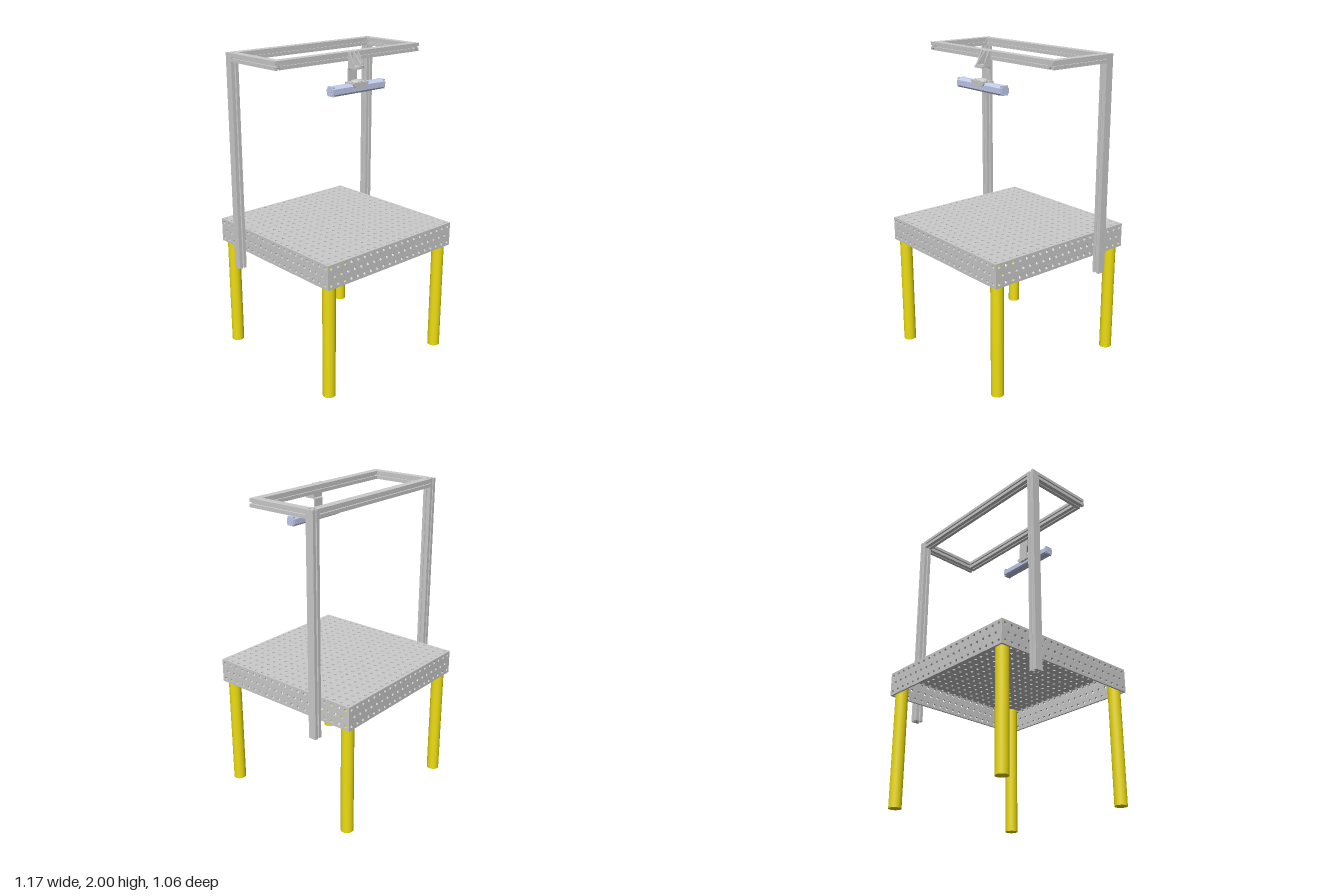
import * as THREE from 'three';

const steel = new THREE.MeshStandardMaterial({ color: 0xcccccc });
const yellow = new THREE.MeshStandardMaterial({ color: 0xeedd11 });
const blue = new THREE.MeshStandardMaterial({ color: 0xc3cdee });

function add(parent, name, geometry, material = steel, x = 0, y = 0, z = 0) {
  const mesh = new THREE.Mesh(geometry, material);
  mesh.name = name;
  mesh.position.set(x, y, z);
  parent.add(mesh);
  return mesh;
}

function box(parent, name, x0, x1, y0, y1, z0, z1, material) {
  return add(parent, name, new THREE.BoxGeometry(x1 - x0, y1 - y0, z1 - z0), material,
    (x0 + x1) / 2, (y0 + y1) / 2, (z0 + z1) / 2);
}

function extrude(shape, depth, curveSegments = 7) {
  return new THREE.ExtrudeGeometry(shape, { depth, bevelEnabled: false, curveSegments });
}

const polygon = (points) => new THREE.Shape(points.map(([x, y]) => new THREE.Vector2(x, y)));

// Flat plate, centred, with round holes through it
function perforatedPlate(w, h, depth, holes) {
  const shape = polygon([[-w / 2, -h / 2], [w / 2, -h / 2], [w / 2, h / 2], [-w / 2, h / 2]]);
  for (const [x, y] of holes) {
    const hole = new THREE.Path();
    hole.absarc(x, y, 0.0095, 0, Math.PI * 2, true);
    shape.holes.push(hole);
  }
  return extrude(shape, depth);
}

// Square section with T-slots on three faces and a closed face at +y
function slottedSection(size) {
  const h = size / 2, points = [];
  const slot = [[-h, h], [-0.005, h], [-0.005, h - 0.004], [-0.011, h - 0.004], [-0.006, h - 0.014],
    [0.006, h - 0.014], [0.011, h - 0.004], [0.005, h - 0.004], [0.005, h]];
  for (let k = 0; k < 4; k++) {
    const c = Math.round(Math.cos(k * Math.PI / 2)), s = Math.round(Math.sin(k * Math.PI / 2));
    for (const [x, y] of k === 0 ? slot.slice(0, 1) : slot) points.push([c * x + s * y, c * y - s * x]);
  }
  return polygon(points);
}

function createTable() {
  const table = new THREE.Group();
  table.name = 'weldingTable';
  const half = 0.53, t = 0.012, top = 0.885, bottom = 0.73, pitch = 0.0532;
  const at = (i) => (i - 9.5) * pitch;

  // Top plate with a 20 x 20 hole grid
  const grid = [];
  for (let i = 0; i < 20; i++) for (let j = 0; j < 20; j++) grid.push([at(i), at(j)]);
  const plate = add(table, 'topPlate', perforatedPlate(half * 2, half * 2, t, grid), steel, 0, top, 0);
  plate.rotation.x = Math.PI / 2;

  // Four skirts, each with two full rows of holes and a staggered middle row
  const height = top - t - bottom, middle = 0.808 - (bottom + height / 2);
  const rows = [];
  for (let i = 0; i < 20; i++) {
    rows.push([at(i), middle + pitch], [at(i), middle - pitch]);
    if (i < 19) rows.push([at(i) + pitch / 2, middle]);
  }
  for (let k = 0; k < 4; k++) {
    const holder = new THREE.Group();
    holder.name = 'skirt';
    holder.rotation.y = k * Math.PI / 2;
    const width = 2 * (k % 2 ? half - t : half);
    add(holder, 'skirtPlate', perforatedPlate(width, height, t, rows), steel, 0, bottom + height / 2, half - t);
    table.add(holder);
  }

  // Round legs reaching up to the underside of the top
  for (const x of [-0.478, 0.478]) for (const z of [-0.478, 0.478])
    add(table, 'leg', new THREE.CylinderGeometry(0.04, 0.04, top - t, 32), yellow, x, (top - t) / 2, z);
  return table;
}

function createFrame() {
  const frame = new THREE.Group();
  frame.name = 'overheadFrame';
  const size = 0.052, section = slottedSection(size);

  // A bar starts at a point, runs along dir and keeps its closed face towards face
  function bar(name, start, dir, face, length) {
    const d = new THREE.Vector3(...dir), f = new THREE.Vector3(...face);
    const mesh = add(frame, name, extrude(section, length), steel, ...start);
    mesh.quaternion.setFromRotationMatrix(
      new THREE.Matrix4().makeBasis(new THREE.Vector3().crossVectors(f, d), f, d));
  }
  const y = 2 - size / 2, x = 0.557, back = -0.293, front = 0.13, inner = x - size / 2;
  for (const s of [-1, 1]) {
    bar('post', [s * x, 0.62, back], [0, 1, 0], [s, 0, 0], 1.38);
    bar('sideBeam', [s * x, y, back + size / 2], [0, 0, 1], [0, 1, 0], front - back);
  }
  bar('backBeam', [-inner, y, back], [1, 0, 0], [0, 1, 0], inner * 2);
  bar('frontBeam', [-inner, y, front], [1, 0, 0], [0, 1, 0], inner * 2);
  return frame;
}

function createLamp() {
  const lamp = new THREE.Group();
  lamp.name = 'lampAssembly';

  // Gusseted mount on the front beam, with a rounded shelf
  box(lamp, 'mountPlate', -0.037, 0.037, 1.91, 2, 0.156, 0.162);
  const shelf = new THREE.Shape();
  shelf.moveTo(-0.037, 0.156);
  shelf.lineTo(0.037, 0.156);
  shelf.lineTo(0.037, 0.2);
  shelf.absellipse(0, 0.2, 0.037, 0.033, 0, Math.PI, false);
  add(lamp, 'mountShelf', extrude(shelf, 0.01, 12), steel, 0, 1.922, 0).rotation.x = Math.PI / 2;
  for (const [x, reach] of [[-0.037, 0.205], [-0.003, 0.232], [0.031, 0.205]]) {
    const rib = polygon([[-0.16, 1.92], [-0.16, 2], [-0.168, 2], [-reach, 1.932], [-reach, 1.92]]);
    add(lamp, 'mountGusset', extrude(rib, 0.006), steel, x, 0, 0).rotation.y = Math.PI / 2;
  }

  // Bent strap hanging from the shelf
  const strap = polygon([[-0.225, 1.912], [-0.158, 1.912], [-0.149, 1.903], [-0.149, 1.79],
    [-0.159, 1.79], [-0.159, 1.896], [-0.164, 1.902], [-0.225, 1.902]]);
  add(lamp, 'strap', extrude(strap, 0.07), steel, -0.035, 0, 0).rotation.y = Math.PI / 2;

  // Saddle clamp with a half-round front and four bolts
  box(lamp, 'clampTop', -0.063, 0.063, 1.818, 1.826, 0.158, 0.228);
  const cheek = new THREE.Shape();
  cheek.moveTo(0.063, 1.826);
  cheek.lineTo(-0.063, 1.826);
  cheek.absellipse(0, 1.822, 0.063, 0.034, Math.PI, Math.PI * 2, false);
  for (const z of [0.157, 0.225]) add(lamp, 'clampCheek', extrude(cheek, 0.007, 12), steel, 0, 0, z);
  const dome = new THREE.SphereGeometry(0.042, 24, 8, 0, Math.PI * 2, 0, Math.PI / 2);
  dome.scale(1, 0.3, 0.75);
  add(lamp, 'clampDome', dome, steel, 0, 1.826, 0.194);
  for (const x of [-0.053, 0.053]) for (const z of [0.178, 0.21])
    add(lamp, 'clampBolt', new THREE.CylinderGeometry(0.005, 0.005, 0.006, 12), steel, x, 1.828, z);

  // Long housing with chamfered edges and stepped end caps
  const section = (r) => polygon([[-0.014, 0.029], [0.014, 0.029], [0.03, 0.015], [0.03, -0.018],
    [0.02, -0.029], [-0.02, -0.029], [-0.03, -0.018], [-0.03, 0.015]].map(([a, b]) => [a * r, b * r]));
  for (const [name, length, scale] of [['lampHousing', 0.42, 1], ['lampEndCaps', 0.432, 0.9]])
    add(lamp, name, extrude(section(scale), length), blue, -length / 2, 1.79, 0.194).rotation.y = Math.PI / 2;
  for (const s of [-1, 1]) {
    box(lamp, 'endFlange', s * 0.206 - 0.006, s * 0.206 + 0.006, 1.761, 1.819, 0.168, 0.22, blue);
    for (const z of [0.182, 0.206])
      add(lamp, 'endScrew', new THREE.CylinderGeometry(0.004, 0.004, 0.005, 10), steel,
        s * 0.217, 1.79, z).rotation.z = Math.PI / 2;
  }
  return lamp;
}

export function createModel() {
  const model = new THREE.Group();
  model.name = 'workstation';
  model.add(createTable(), createFrame(), createLamp());
  return model;
}
